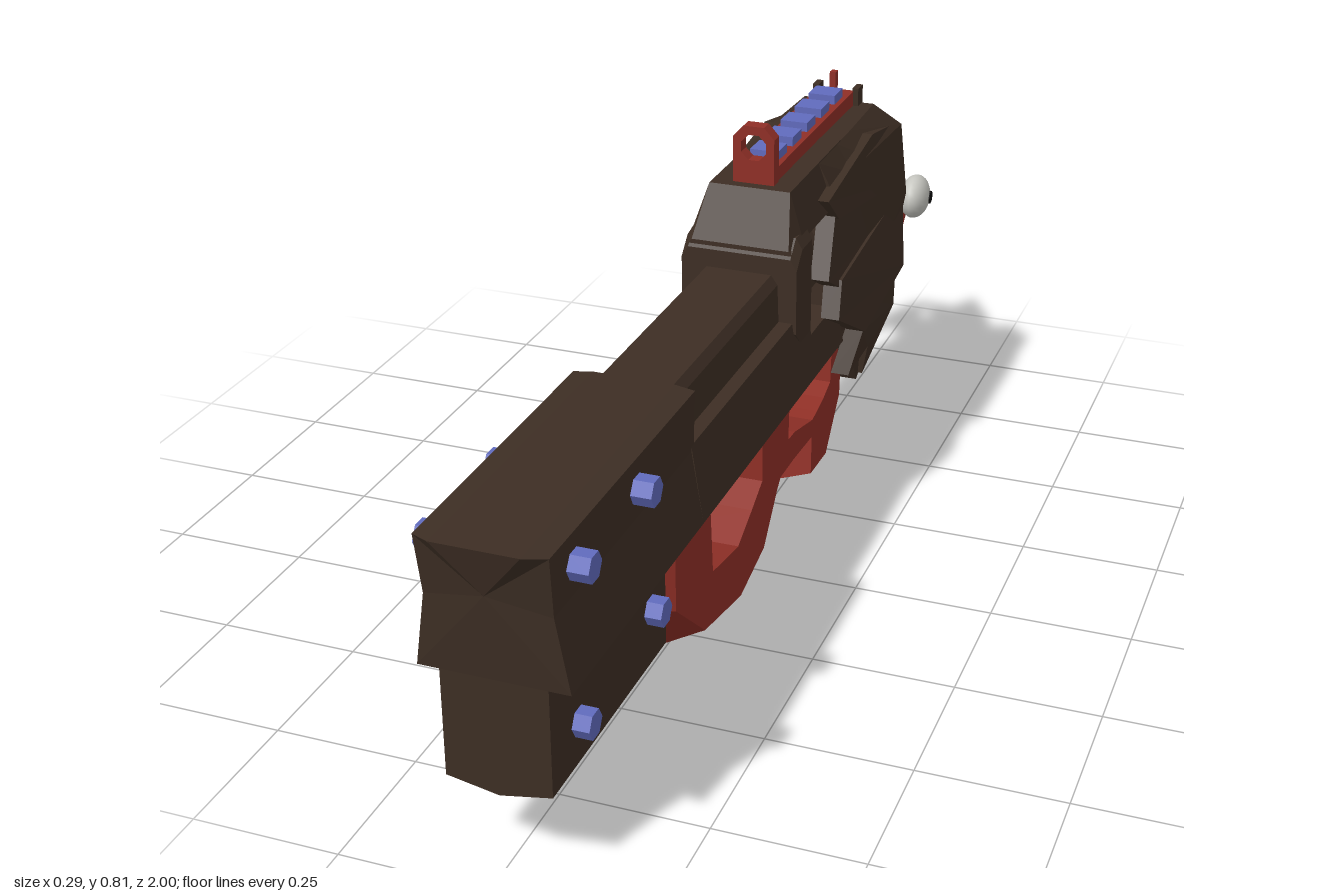
import * as THREE from 'three';
import { ConvexGeometry } from 'three/addons/geometries/ConvexGeometry.js';

const mat = (name, color) => {
  const m = new THREE.MeshStandardMaterial({ color, flatShading: true, side: THREE.DoubleSide });
  m.name = name;
  return m;
};
const V = (p) => new THREE.Vector3(...p);

// Closed solid through rings of 3D points; faces are turned outward by signed volume.
function loft(rings) {
  const tris = [], n = rings[0].length;
  for (let i = 0; i + 1 < rings.length; i++)
    for (let j = 0; j < n; j++) {
      const k = (j + 1) % n, a = rings[i], b = rings[i + 1];
      tris.push([a[j], a[k], b[k]], [a[j], b[k], b[j]]);
    }
  const cap = (r, flip) => {
    const c = [0, 1, 2].map((d) => r.reduce((s, p) => s + p[d], 0) / n);
    r.forEach((p, j) => tris.push(flip ? [c, r[(j + 1) % n], p] : [c, p, r[(j + 1) % n]]));
  };
  cap(rings[0], true);
  cap(rings[rings.length - 1], false);
  let vol = 0;
  for (const [a, b, c] of tris) vol += V(a).dot(V(b).cross(V(c)));
  if (vol < 0) tris.forEach((t) => t.reverse());
  const g = new THREE.BufferGeometry();
  g.setAttribute('position', new THREE.Float32BufferAttribute(tris.flat(2), 3));
  g.computeVertexNormals();
  return g;
}
// Ring symmetric in x from [x, y, z] points of its left half, top to bottom.
const mirrorRing = (half) => [...half, ...half.filter((p) => p[0] > 0).reverse().map(([x, y, z]) => [-x, y, z])];

// Curved handle of width 2w with a ridged outer edge; stations are [innerZ, innerY, outerZ, outerY].
function band(stations, w, ridge) {
  return loft(stations.map(([iz, iy, oz, oy]) => {
    const k = ridge / Math.hypot(iz - oz, iy - oy);
    const sz = oz + (iz - oz) * k, sy = oy + (iy - oy) * k;
    return [[w, iy, iz], [w, sy, sz], [0, oy, oz], [-w, sy, sz], [-w, iy, iz]];
  }));
}
// Plate drawn as (z, y) points, with its thickness along x.
function sidePlate(points, depth) {
  const s = new THREE.Shape(points.map((p) => new THREE.Vector2(...p)));
  return new THREE.ExtrudeGeometry(s, { depth, bevelEnabled: false }).rotateY(-Math.PI / 2).translate(depth / 2, 0, 0);
}

export function createModel() {
  const brown = mat('dark brown', 0x3d2e24), red = mat('red', 0x8f2f26), blue = mat('blue', 0x616bbd);
  const white = mat('eye white', 0xc6c6c0), black = mat('black', 0x0b0a0a);
  white.flatShading = false;
  const root = new THREE.Group();
  root.name = 'birdBlaster';
  const gun = new THREE.Group();
  gun.name = 'gun';
  gun.position.x = 0.004;
  root.add(gun);
  const add = (name, geo, m, x = 0, y = 0, z = 0) => {
    const mesh = new THREE.Mesh(geo, m);
    mesh.name = name;
    mesh.position.set(x, y, z);
    gun.add(mesh);
    return mesh;
  };
  const box = (name, m, x0, x1, y0, y1, z0, z1) =>
    add(name, new THREE.BoxGeometry(x1 - x0, y1 - y0, z1 - z0), m, (x0 + x1) / 2, (y0 + y1) / 2, (z0 + z1) / 2);

  // Upper stock with flared skirt
  add('upperStock', loft([
    mirrorRing([[0.07, 0.577, 0.43], [0.103, 0.572, 0.43], [0.1, 0.47, 0.43], [0.12, 0.345, 0.43]]),
    mirrorRing([[0.07, 0.577, 1], [0.103, 0.572, 0.98], [0.1, 0.47, 0.965], [0.12, 0.345, 0.96]]),
  ]), brown);
  add('lowerStock', loft([0.52, 0.96].map((z) =>
    mirrorRing([[0.085, 0.35, z], [0.085, 0.163, z], [0, 0.147, z]]))), brown);
  // Fore rails
  add('lowerRail', loft([-0.14, 0.44].map((z) => mirrorRing([[0.1, 0.48, z], [0.12, 0.345, z]]))), brown);
  add('rearRail', loft([-0.3, -0.13].map((z) => mirrorRing([[0.105, 0.42, z], [0.12, 0.345, z]]))), brown);
  add('upperRail', loft([-0.35, 0.45].map((z) =>
    mirrorRing([[0.06, 0.567, z], [0.072, 0.55, z], [0.075, 0.47, z]]))), brown);

  // Blue bolts
  for (const [z, y, x] of [[0.9, 0.522, 0.118], [0.67, 0.522, 0.118], [0.865, 0.235, 0.096], [0.585, 0.262, 0.096]])
    for (const s of [1, -1])
      add('bolt', new THREE.CylinderGeometry(0.024, 0.024, 0.034, 6).rotateZ(Math.PI / 2), blue, s * x, y, z);

  // Handle and trigger guard
  add('handle', band([
    [0.32, 0.35, 0.52, 0.35], [0.305, 0.175, 0.52, 0.2], [0.28, 0.17, 0.37, 0.045], [0.18, 0.155, 0.16, 0.003],
    [0.11, 0.19, 0.02, 0.04], [0.055, 0.22, -0.065, 0.135], [0.055, 0.25, -0.13, 0.2], [0.055, 0.35, -0.14, 0.35],
  ], 0.085, 0.045), red);
  add('triggerGuard', band([
    [-0.04, 0.22, -0.05, 0.135], [-0.155, 0.215, -0.15, 0.135], [-0.26, 0.19, -0.275, 0.13], [-0.29, 0.195, -0.25, 0.053],
    [-0.33, 0.205, -0.355, 0.05], [-0.37, 0.22, -0.45, 0.15], [-0.38, 0.345, -0.46, 0.28],
  ], 0.075, 0.025), red);
  add('trigger', sidePlate([[-0.13, 0.35], [-0.23, 0.35], [-0.205, 0.27], [-0.23, 0.2], [-0.17, 0.205], [-0.14, 0.27]], 0.06), blue);

  // Receiver collar, top housing and body
  add('collar', loft([
    mirrorRing([[0.095, 0.6, -0.055], [0.107, 0.58, -0.055], [0.107, 0.48, -0.055], [0.107, 0.46, -0.055]]),
    mirrorRing([[0.095, 0.63, -0.085], [0.107, 0.61, -0.085], [0.107, 0.48, -0.085], [0.107, 0.43, -0.085]]),
    mirrorRing([[0.095, 0.63, -0.14], [0.107, 0.61, -0.14], [0.107, 0.48, -0.14], [0.107, 0.42, -0.14]]),
  ]), brown);
  add('topHousing', loft([
    mirrorRing([[0.09, 0.613, -0.06], [0.1, 0.6, -0.06]]),
    mirrorRing([[0.075, 0.703, -0.11], [0.1, 0.617, -0.11]]),
    mirrorRing([[0.075, 0.703, -0.4], [0.1, 0.617, -0.4]]),
  ]), brown);
  add('body', loft([
    mirrorRing([[0.075, 0.702, -0.27], [0.1, 0.645, -0.28], [0.105, 0.5, -0.28], [0.1, 0.345, -0.28]]),
    mirrorRing([[0.075, 0.702, -0.38], [0.105, 0.65, -0.38], [0.115, 0.46, -0.38], [0.1, 0.335, -0.38]]),
    mirrorRing([[0.075, 0.702, -0.46], [0.11, 0.655, -0.46], [0.12, 0.4, -0.46], [0.1, 0.19, -0.46]]),
    mirrorRing([[0.07, 0.7, -0.63], [0.115, 0.65, -0.675], [0.123, 0.5, -0.7], [0.095, 0.28, -0.65]]),
  ]), brown);

  // Wings of overlapping feathers, leaning outward toward the bottom
  const lean = (y) => (y > 0.34 ? 0.142 - (Math.min(y, 0.7) - 0.34) * 0.1 : 0.142 - (0.34 - y) * 0.2) - 0.0175;
  const feathers = [
    [[-0.66, 0.655], [-0.5, 0.685], [-0.22, 0.65], [-0.27, 0.6], [-0.68, 0.53]],
    [[-0.68, 0.56], [-0.27, 0.615], [-0.2, 0.505], [-0.26, 0.47], [-0.7, 0.49]],
    [[-0.7, 0.51], [-0.26, 0.485], [-0.225, 0.42], [-0.375, 0.335], [-0.66, 0.36]],
    [[-0.7, 0.5], [-0.36, 0.4], [-0.375, 0.335], [-0.34, 0.255], [-0.46, 0.265], [-0.47, 0.2], [-0.64, 0.28]],
  ];
  for (const s of [1, -1])
    feathers.forEach((f, i) => {
      const g = sidePlate(f, 0.035), p = g.attributes.position;
      for (let v = 0; v < p.count; v++) {
        const rootFade = Math.max(0, -p.getZ(v) - 0.6) * 0.1;
        p.setX(v, p.getX(v) + s * (lean(p.getY(v)) - rootFade - (i % 2) * 0.005));
      }
      g.computeVertexNormals();
      add('wingFeather', g, brown);
    });

  // Sight rail
  box('sightRail', red, -0.036, 0.036, 0.7, 0.729, -0.61, -0.16);
  for (let i = 0; i < 5; i++) box('railSlat', blue, -0.026, 0.026, 0.725, 0.746, -0.235 - i * 0.083, -0.185 - i * 0.083);
  box('rearPost', red, -0.006, 0.006, 0.72, 0.77, -0.6, -0.585);
  for (const s of [1, -1]) box('railEar', brown, s * 0.04 - 0.006, s * 0.04 + 0.006, 0.69, 0.735, -0.635, -0.605);
  const plate = new THREE.Shape([[-0.038, 0.7], [0.038, 0.7], [0.038, 0.787], [0.019, 0.808], [-0.019, 0.808], [-0.038, 0.787]]
    .map((p) => new THREE.Vector2(...p)));
  const hole = [];
  for (let i = 0; i < 8; i++) {
    const a = -(i + 0.5) * Math.PI / 4;
    hole.push(new THREE.Vector2(0.025 * Math.cos(a), 0.769 + 0.025 * Math.sin(a)));
  }
  plate.holes.push(new THREE.Path(hole));
  add('frontSight', new THREE.ExtrudeGeometry(plate, { depth: 0.026, bevelEnabled: false }), red, 0, 0, -0.156);

  // Bird head: rings of [z, centreY, radiusY, radiusX]
  const head = [[-0.65, 0.44, 0.1, 0.085], [-0.71, 0.43, 0.09, 0.08], [-0.78, 0.42, 0.105, 0.095],
    [-0.85, 0.4, 0.11, 0.085], [-0.885, 0.4, 0.085, 0.06]].map(([z, cy, ry, rx]) =>
    Array.from({ length: 12 }, (_, i) => {
      const a = (i * Math.PI) / 6;
      return [rx * Math.cos(a), cy + ry * Math.sin(a), z];
    }));
  add('head', loft(head), red);
  box('comb', red, -0.016, 0.016, 0.5, 0.546, -0.79, -0.735);
  box('wattle', red, -0.05, 0.05, 0.165, 0.34, -0.665, -0.58);

  // Snood draped over the right side of the beak
  const snood = new THREE.CatmullRomCurve3([[0, 0.525, -0.78], [-0.06, 0.515, -0.85], [-0.115, 0.47, -0.885],
    [-0.128, 0.39, -0.875], [-0.13, 0.3, -0.865]].map(V));
  add('snood', new THREE.TubeGeometry(snood, 10, 0.02, 6), red);
  add('snoodTip', new THREE.SphereGeometry(0.02, 6, 4), red, -0.13, 0.3, -0.865);

  // Eyes
  for (const s of [1, -1]) {
    add('eye', new THREE.SphereGeometry(1, 16, 12).scale(0.03, 0.044, 0.05), white, s * 0.112, 0.45, -0.81);
    add('pupil', new THREE.CylinderGeometry(0.013, 0.013, 0.006, 10).rotateZ(Math.PI / 2), black, s * 0.14, 0.448, -0.82);
  }

  // Open beak with dark lining
  add('upperBeak', new ConvexGeometry([[0.075, 0.42, -0.865], [-0.075, 0.42, -0.865], [0.045, 0.505, -0.85],
    [-0.045, 0.505, -0.85], [0, 0.5, -0.91], [0, 0.455, -0.985]].map(V)), blue);
  add('lowerBeak', new ConvexGeometry([[0.07, 0.405, -0.865], [-0.07, 0.405, -0.865], [0.05, 0.325, -0.87],
    [-0.05, 0.325, -0.87], [0, 0.315, -0.9], [0, 0.355, -1]].map(V)), blue);
  add('mouthRoof', new ConvexGeometry([[0.062, 0.42, -0.87], [-0.062, 0.42, -0.87], [0.062, 0.415, -0.87],
    [-0.062, 0.415, -0.87], [0, 0.447, -0.97], [0, 0.442, -0.965]].map(V)), black);
  add('mouthFloor', new ConvexGeometry([[0.058, 0.405, -0.87], [-0.058, 0.405, -0.87], [0.058, 0.41, -0.87],
    [-0.058, 0.41, -0.87], [0, 0.366, -0.98], [0, 0.371, -0.975]].map(V)), black);
  box('mouthBack', black, -0.06, 0.06, 0.395, 0.43, -0.893, -0.886);
  return root;
}
